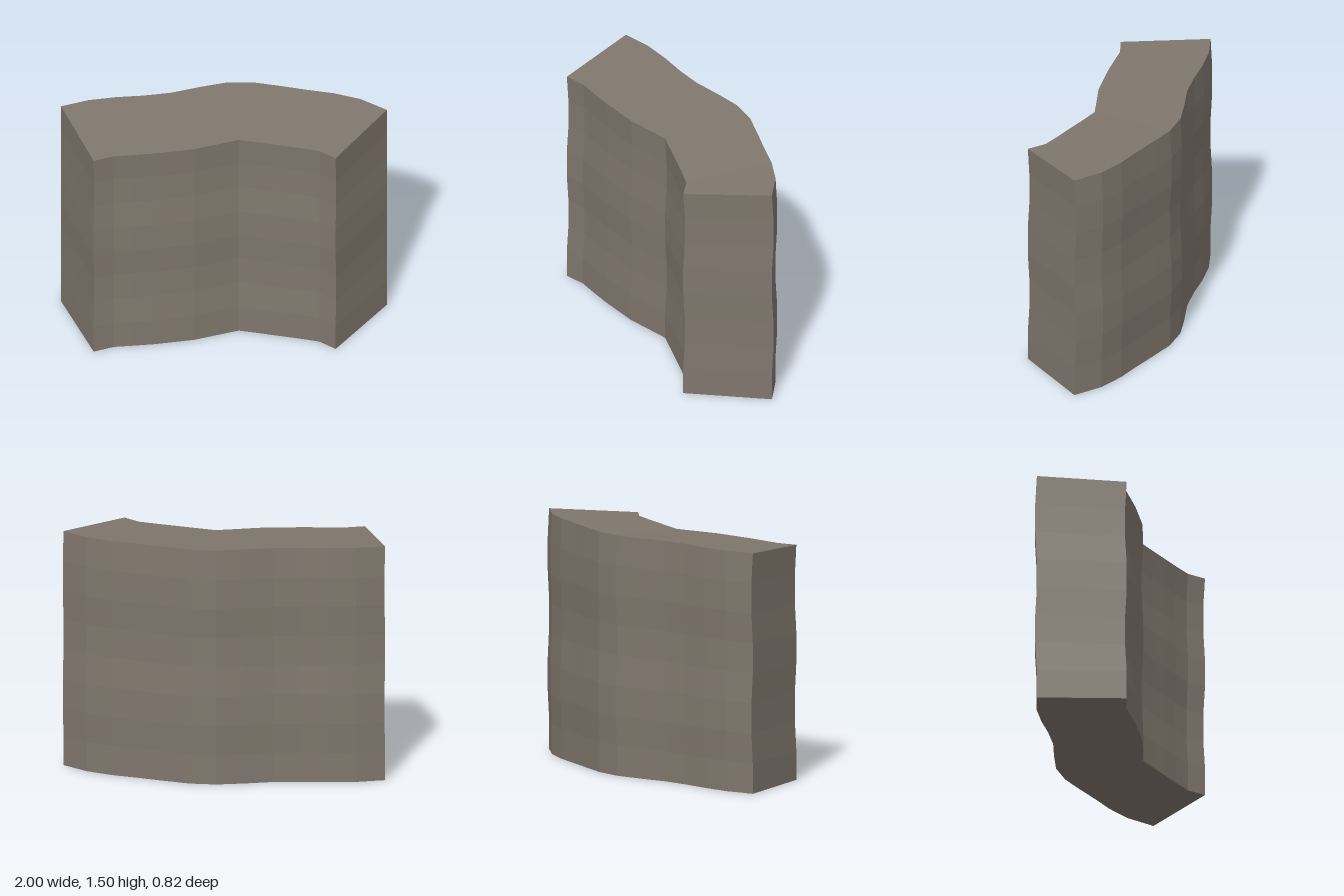
import * as THREE from 'three';

// Plan outlines as [x, z], both running from -x to +x
const back = [-0.10, -0.171, -0.209, -0.233, -0.27, -0.334, -0.39, -0.40, -0.372, -0.34, -0.313, -0.262, -0.16]
  .map((z, i) => [-1 + i / 6, z]);
const front = [
  [-0.775, 0.404], [-0.655, 0.35], [-0.53, 0.331], [-0.405, 0.31], [-0.285, 0.282], [-0.165, 0.254], [-0.03, 0.2],
  [0.103, 0.147], [0.23, 0.167], [0.36, 0.19], [0.48, 0.21], [0.604, 0.235], [0.708, 0.305],
];
const ROWS = 8, BACK_HEIGHT = 1.5, FRONT_HEIGHT = 1.467, WAVE = 0.011;

// Point of an outline at a row; pairs of rows step back and forth in z
function point([x, z], height, row) {
  const shift = row % 4 >= 2 ? -WAVE : 0;
  return [x, (height * row) / ROWS, z + shift];
}
const backAt = (i, row) => point(back[i], BACK_HEIGHT, row);
const frontAt = (i, row) => point(front[i], FRONT_HEIGHT, row);

function meshFromQuads(name, quads, material) {
  const positions = quads.flatMap(([a, b, c, d]) => [a, b, c, a, c, d].flat());
  const geometry = new THREE.BufferGeometry();
  geometry.setAttribute('position', new THREE.Float32BufferAttribute(positions, 3));
  geometry.computeVertexNormals();
  const mesh = new THREE.Mesh(geometry, material);
  mesh.name = name;
  return mesh;
}

export function createModel() {
  const stone = new THREE.MeshStandardMaterial({ color: 0x80776d, flatShading: true });
  stone.name = 'warm grey stone';
  const last = back.length - 1;
  const backFace = [], frontFace = [], leftEnd = [], rightEnd = [], top = [], bottom = [];

  // Rippled walls and end faces
  for (let r = 0; r < ROWS; r++) {
    for (let i = 0; i < last; i++) {
      backFace.push([backAt(i, r), backAt(i, r + 1), backAt(i + 1, r + 1), backAt(i + 1, r)]);
      frontFace.push([frontAt(i, r), frontAt(i + 1, r), frontAt(i + 1, r + 1), frontAt(i, r + 1)]);
    }
    leftEnd.push([backAt(last, r), backAt(last, r + 1), frontAt(last, r + 1), frontAt(last, r)]);
    rightEnd.push([frontAt(0, r), frontAt(0, r + 1), backAt(0, r + 1), backAt(0, r)]);
  }

  // Gently sloping top and flat base
  for (let i = 0; i < last; i++) {
    top.push([backAt(i, ROWS), frontAt(i, ROWS), frontAt(i + 1, ROWS), backAt(i + 1, ROWS)]);
    bottom.push([backAt(i, 0), backAt(i + 1, 0), frontAt(i + 1, 0), frontAt(i, 0)]);
  }

  const group = new THREE.Group();
  group.name = 'curvedWallBlock';
  const parts = { backFace, frontFace, leftEnd, rightEnd, top, bottom };
  for (const [name, quads] of Object.entries(parts)) group.add(meshFromQuads(name, quads, stone));
  return group;
}
